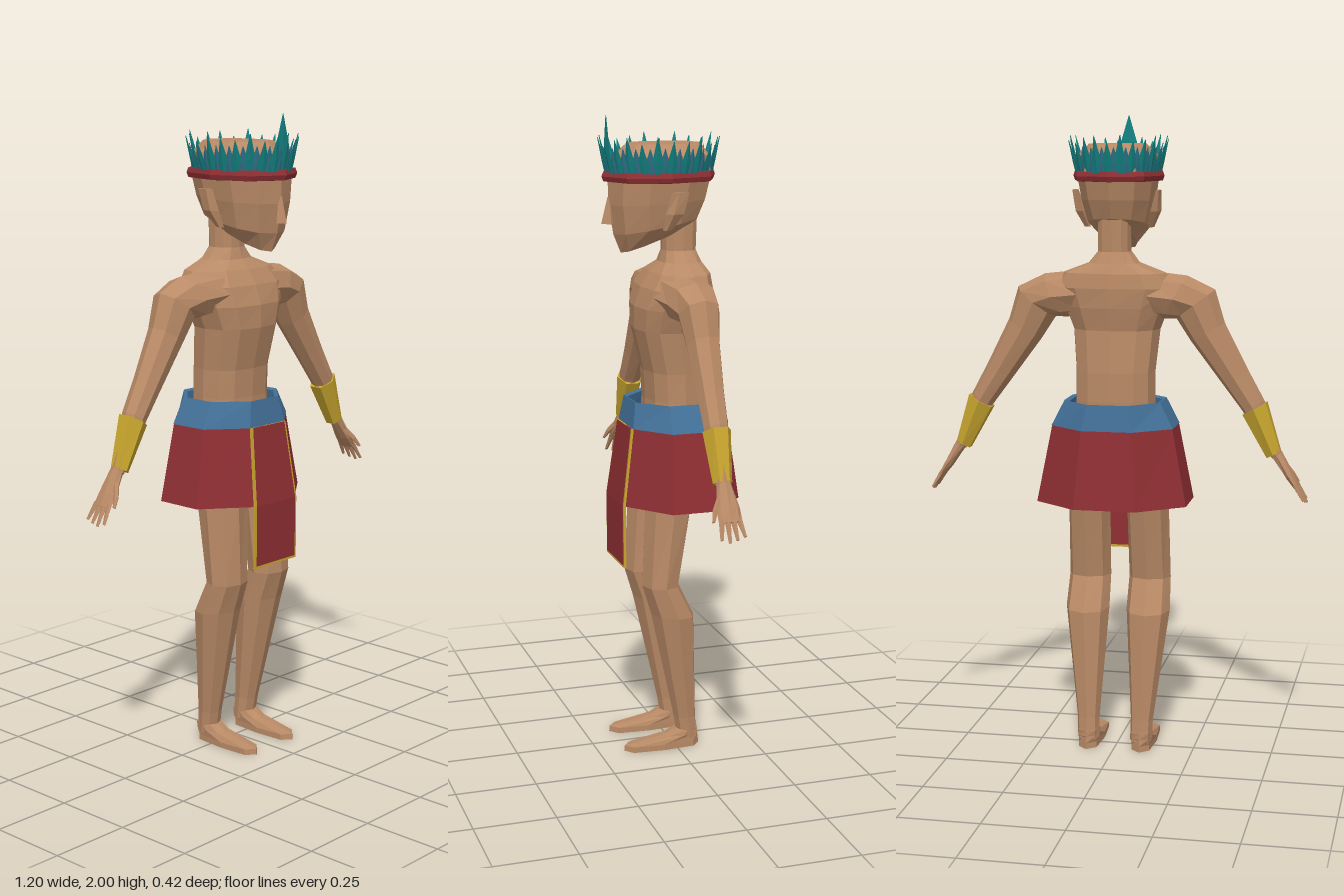
import * as THREE from 'three';

const mat = (color, side = THREE.FrontSide) =>
  new THREE.MeshStandardMaterial({ color, flatShading: true, side });
const SKIN = mat(0xb98a66), RED = mat(0x8f2f33), CLOTH = mat(0x8f2f33, THREE.DoubleSide);
const BLUE = mat(0x437199, THREE.DoubleSide), GOLD = mat(0xc8a52e);
const TEAL = mat(0x148282), DARK_TEAL = mat(0x2f6f86);

// Skin rings [x, y, z, halfX, halfZ, turn about z, slope of y along z], listed from low to high.
// n sides, p < 1 makes the ring boxier, phase turns the corners.
function loft(rings, { n = 8, p = 1, phase = 0, cap = true } = {}) {
  const pow = v => Math.sign(v) * Math.abs(v) ** p;
  const pts = rings.map(([x, y, z, a, b, turn = 0, slope = 0]) =>
    Array.from({ length: n }, (_, i) => {
      const t = phase + (i / n) * Math.PI * 2;
      const u = a * pow(Math.sin(t)), w = b * pow(Math.cos(t));
      return [x + u * Math.cos(turn), y + u * Math.sin(turn) + w * slope, z + w];
    }));
  const pos = [], tri = (...v) => v.forEach(q => pos.push(...q));
  const last = rings.length - 1;
  for (let i = 0; i < n; i++) {
    const j = (i + 1) % n;
    for (let k = 0; k < last; k++) {
      const A = pts[k][i], B = pts[k][j], C = pts[k + 1][j], D = pts[k + 1][i];
      tri(A, B, C);
      tri(A, C, D);
    }
    if (cap) {
      tri(rings[0].slice(0, 3), pts[0][j], pts[0][i]);
      tri(rings[last].slice(0, 3), pts[last][i], pts[last][j]);
    }
  }
  const g = new THREE.BufferGeometry();
  g.setAttribute('position', new THREE.Float32BufferAttribute(pos, 3));
  g.computeVertexNormals();
  return g;
}

export function createModel() {
  const model = new THREE.Group();
  const add = (name, material, rings, opts) => {
    const mesh = new THREE.Mesh(loft(rings, opts), material);
    mesh.name = name;
    model.add(mesh);
  };

  // Torso and neck: [y, half width, front z, back z]
  add('torso', SKIN, [
    [0.9, 0.13, 0.08, -0.1], [1.13, 0.125, 0.07, -0.115], [1.22, 0.125, 0.075, -0.115],
    [1.35, 0.137, 0.105, -0.105], [1.42, 0.165, 0.105, -0.12], [1.48, 0.19, 0.085, -0.125],
    [1.525, 0.16, 0.055, -0.12], [1.555, 0.08, 0.025, -0.105],
    [1.59, 0.052, 0.015, -0.09], [1.72, 0.05, 0.015, -0.095],
  ].map(([y, w, f, b]) => [0, y, (f + b) / 2, w, (f - b) / 2]), { n: 12, p: 0.8 });

  // Head, with the chin lower than the nape
  add('head', SKIN, [
    [0, 1.622, 0.047, 0.05, 0.1, 0, -0.36],
    [0, 1.667, 0.035, 0.092, 0.135, 0, -0.18],
    [0, 1.74, 0.03, 0.11, 0.155, 0, -0.05],
    [0, 1.82, 0.022, 0.122, 0.165],
    [0, 1.88, 0.015, 0.12, 0.15],
    [0, 1.915, 0.012, 0.085, 0.115],
  ], { n: 10, p: 0.85 });
  add('nose', SKIN, [[0, 1.675, 0.183, 0.02, 0.025], [0, 1.755, 0.18, 0.006, 0.008]], { n: 4 });

  // Crown: band, two rows of leaning feathers and a tall front feather
  add('crownBand', RED, [
    [0, 1.8, 0.025, 0.11, 0.15], [0, 1.803, 0.025, 0.138, 0.175], [0, 1.818, 0.025, 0.143, 0.181],
    [0, 1.833, 0.025, 0.138, 0.175], [0, 1.836, 0.025, 0.11, 0.15],
  ], { n: 8, p: 0.9, cap: false });
  const feather = (name, t, h, size, lean, material) => {
    const mesh = new THREE.Mesh(loft([
      [0, 0, 0, size * 0.8, 0.004], [0, h * 0.35, lean * 0.3, size, 0.005], [0, h, lean, 0.001, 0.001],
    ], { n: 4 }), material);
    mesh.name = name;
    mesh.position.set(0.127 * Math.sin(t), 1.825, 0.025 + 0.163 * Math.cos(t));
    mesh.rotation.y = t;
    model.add(mesh);
  };
  const N = 24;
  for (let i = 0; i < N; i++) {
    const t = (i / N) * Math.PI * 2;
    feather('tallFeather', t, 0.105 + 0.012 * Math.cos(i * 2.4), 0.017, 0.025, TEAL);
    feather('shortFeather', t + Math.PI / N, 0.08, 0.017, 0.012, DARK_TEAL);
  }
  feather('frontFeather', 0, 0.175, 0.035, 0.003, TEAL);

  // Skirt, waistband and hanging front panel with a gold border
  const oct = { phase: Math.PI / 8, cap: false };
  add('skirt', CLOTH, [
    [0, 0.82, -0.022, 0.245, 0.19], [0, 0.81, -0.022, 0.255, 0.2], [0, 1.05, -0.022, 0.205, 0.166],
  ], oct);
  add('waistband', BLUE, [
    [0, 1.05, -0.022, 0.207, 0.168], [0, 1.13, -0.022, 0.163, 0.155], [0, 1.125, -0.022, 0.15, 0.143],
    [0, 1.05, -0.022, 0.165, 0.15],
  ], oct);
  const panel = (name, material, grow, thick) => add(name, material, [
    [0.62 - grow, 0.166, 0.088], [0.81, 0.167, 0.088], [1.05, 0.135, 0.071],
  ].map(([y, z, w]) => [0, y, z, (w + grow) * Math.SQRT2, thick]), { n: 4, phase: Math.PI / 4 });
  panel('frontPanel', RED, 0, 0.008);
  panel('panelBorder', GOLD, 0.008, 0.005);

  // Mirrored limbs: s = 1 is the left side, -1 the right
  for (const s of [1, -1]) {
    const side = s > 0 ? 'left' : 'right';
    const limb = (part, material, rings, opts) => add(side + part, material,
      rings.map(([x, y, z, a, b, turn = 0, slope = 0]) => [x * s, y, z, a, b, turn * s, slope]), opts);

    limb('Ear', SKIN, [
      [0.1, 1.66, 0.03, 0.01, 0.014], [0.117, 1.71, 0.01, 0.018, 0.03], [0.13, 1.775, -0.005, 0.008, 0.03],
    ], { n: 5 });

    limb('Arm', SKIN, [
      [0.505, 0.965, -0.01, 0.018, 0.024, 0.55], [0.43, 1.12, -0.012, 0.038, 0.038, 0.5],
      [0.372, 1.21, -0.015, 0.046, 0.042, 0.5], [0.288, 1.345, -0.02, 0.06, 0.052, 0.52],
      [0.25, 1.43, -0.02, 0.075, 0.064, 0.65], [0.19, 1.45, -0.02, 0.075, 0.08, 1.1],
      [0.1, 1.46, -0.015, 0.07, 0.095, 1.4],
    ]);
    limb('Bracelet', GOLD, [
      [0.495, 0.97, -0.01, 0.027, 0.03, 0.5], [0.435, 1.112, -0.012, 0.047, 0.044, 0.5],
    ], { n: 6 });

    // Hand: flat palm, four spread fingers and a thumb
    limb('Palm', SKIN, [
      [0.568, 0.87, -0.01, 0.009, 0.036, 0.55], [0.545, 0.905, -0.01, 0.014, 0.036, 0.55],
      [0.505, 0.97, -0.01, 0.018, 0.022, 0.55],
    ]);
    for (let f = 0; f < 4; f++) {
      const o = f - 1.5, len = 1 - 0.12 * Math.abs(o - 0.3);
      limb('Finger', SKIN, [
        [0.563 + 0.037 * len, 0.88 - 0.062 * len, -0.01 + o * 0.024, 0.004, 0.005, 0.55],
        [0.563, 0.88, -0.01 + o * 0.017, 0.008, 0.01, 0.55],
      ], { n: 5 });
    }
    limb('Thumb', SKIN, [
      [0.568, 0.875, 0.042, 0.005, 0.005, 0.55], [0.548, 0.905, 0.03, 0.009, 0.009, 0.55],
      [0.52, 0.945, 0.002, 0.01, 0.011, 0.55],
    ], { n: 5 });

    // Leg, bent a little at the knee
    limb('Leg', SKIN, [
      [0.085, 0.03, -0.04, 0.035, 0.033], [0.087, 0.1, -0.032, 0.036, 0.036],
      [0.098, 0.45, 0.013, 0.07, 0.07, 0, 0.1], [0.097, 0.55, 0.053, 0.067, 0.058],
      [0.094, 0.8, 0.025, 0.067, 0.075], [0.085, 0.97, 0, 0.065, 0.08],
    ], { p: 0.9 });
    limb('Foot', SKIN, [
      [0.086, 0, 0.045, 0.036, 0.125], [0.086, 0.018, 0.045, 0.036, 0.123],
      [0.086, 0.04, -0.02, 0.034, 0.055], [0.086, 0.06, -0.04, 0.033, 0.034],
    ], { p: 0.65 });
  }
  return model;
}
